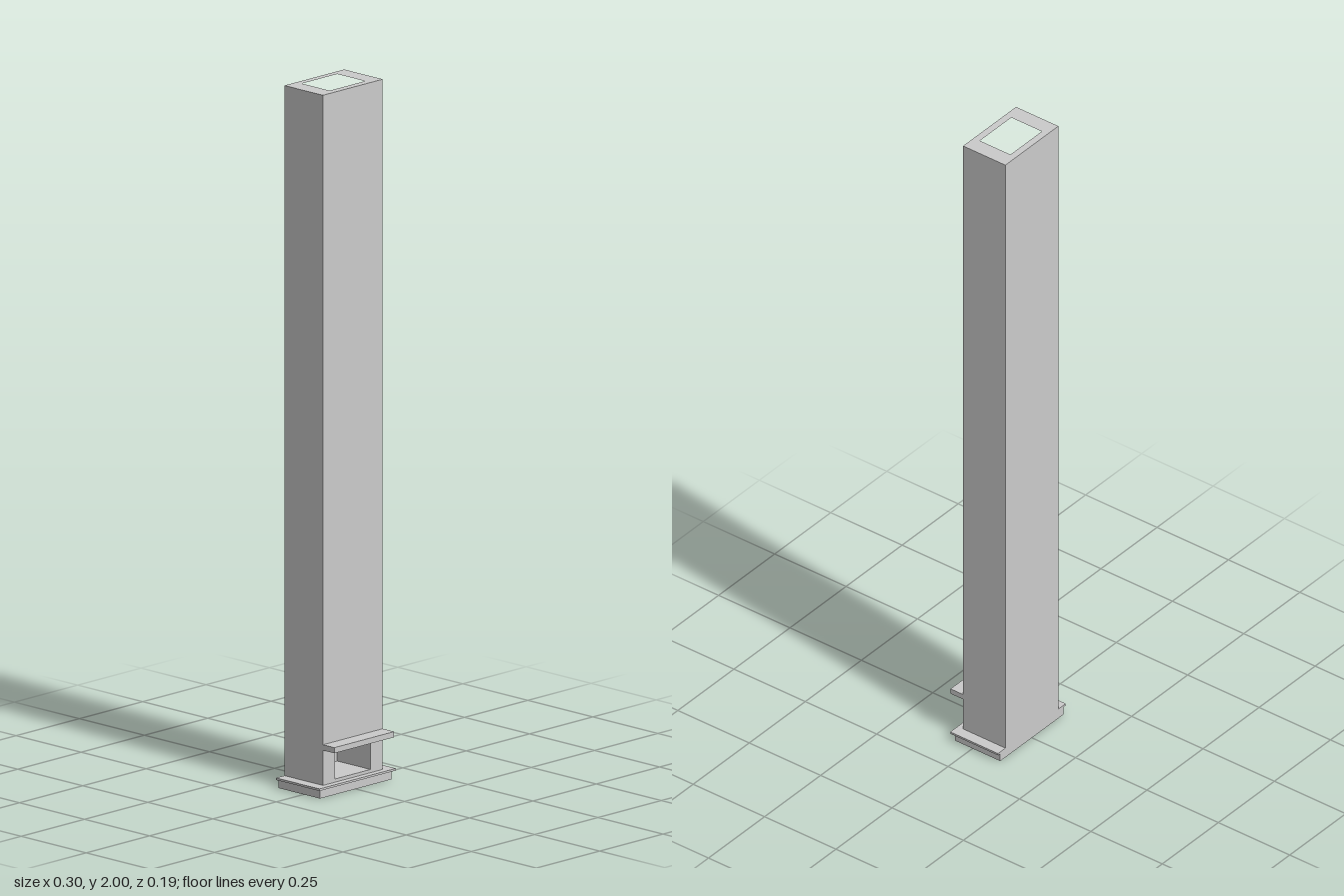
import * as THREE from 'three';

const material = new THREE.MeshStandardMaterial({ color: 0xcccccc, flatShading: true });

// Outer walls of the stack and the flue inside them
const X = 0.118, BACK = -0.097, FRONT = 0.051;
const FX = 0.07, FLUE_BACK = -0.077, FLUE_FRONT = 0.03;

function add(group, name, geometry) {
  const mesh = new THREE.Mesh(geometry, material);
  mesh.name = name;
  group.add(mesh);
}

// Box given by half width and its y and z ranges
function slab(group, name, halfWidth, y0, y1, z0, z1) {
  const geometry = new THREE.BoxGeometry(halfWidth * 2, y1 - y0, z1 - z0);
  geometry.translate(0, (y0 + y1) / 2, (z0 + z1) / 2);
  add(group, name, geometry);
}

// Plan outline (x, z) raised from y0 to y1
function raise(group, name, outline, hole, y0, y1) {
  const points = (list) => list.map(([x, z]) => new THREE.Vector2(x, -z));
  const shape = new THREE.Shape(points(outline));
  if (hole) shape.holes.push(new THREE.Path(points(hole)));
  const geometry = new THREE.ExtrudeGeometry(shape, { depth: y1 - y0, bevelEnabled: false });
  geometry.rotateX(-Math.PI / 2);
  geometry.translate(0, y0, 0);
  add(group, name, geometry);
}

export function createModel() {
  const group = new THREE.Group();
  group.name = 'chimney';

  // Stepped hearth
  slab(group, 'hearthBase', 0.141, 0, 0.025, BACK, 0.062);
  slab(group, 'hearthTop', 0.151, 0.025, 0.031, BACK, 0.07);

  // Firebox floor, then walls open to the front
  slab(group, 'fireboxFloor', X, 0.031, 0.04, BACK, FRONT);
  raise(group, 'fireboxWalls', [
    [-X, BACK], [X, BACK], [X, FRONT], [FX, FRONT],
    [FX, FLUE_BACK], [-FX, FLUE_BACK], [-FX, FRONT], [-X, FRONT],
  ], null, 0.04, 0.122);

  // Tall stack with an open flue
  raise(group, 'stack',
    [[-X, BACK], [X, BACK], [X, FRONT], [-X, FRONT]],
    [[-FX, FLUE_BACK], [FX, FLUE_BACK], [FX, FLUE_FRONT], [-FX, FLUE_FRONT]],
    0.122, 2);

  // Mantel shelf
  slab(group, 'mantelShelf', X, 0.131, 0.147, FRONT, 0.095);

  return group;
}
